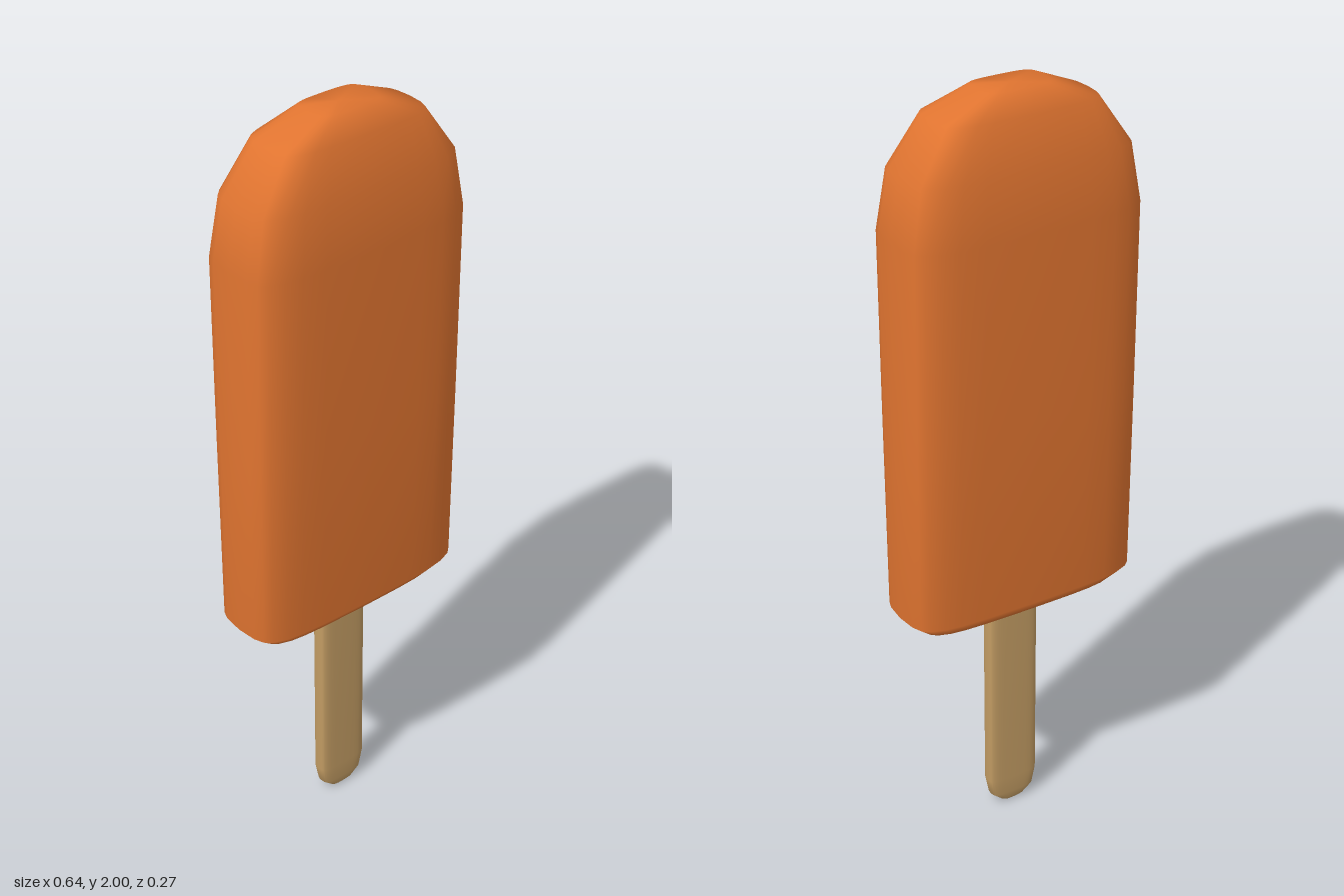
import * as THREE from 'three';

// One quadrant of the rounded cross-section, scaled to a unit half width and half depth
const QUADRANT = [[1, 0], [0.985, 0.45], [0.955, 0.66], [0.9, 0.79], [0.79, 0.9], [0.65, 0.955], [0.45, 0.985], [0, 1]];

function unitSection() {
  const q = QUADRANT.slice(0, -1), r = QUADRANT.slice(1).reverse();
  return [
    ...q,
    ...r.map(([x, z]) => [-x, z]),
    ...q.map(([x, z]) => [-x, -z]),
    ...r.map(([x, z]) => [x, -z]),
  ];
}

// Smooth closed loft through rings of [y, half width, half depth], bottom to top
function loft(rings) {
  const section = unitSection(), n = section.length;
  const positions = [], indices = [];
  for (const [y, w, d] of rings) {
    for (const [x, z] of section) positions.push(x * w, y, z * d);
  }
  for (let r = 0; r < rings.length - 1; r++) {
    for (let i = 0; i < n; i++) {
      const a = r * n + i, b = r * n + (i + 1) % n;
      indices.push(a, a + n, b, b, a + n, b + n);
    }
  }
  // End caps
  const last = rings.length - 1, bottom = rings.length * n, top = bottom + 1;
  positions.push(0, rings[0][0], 0, 0, rings[last][0], 0);
  for (let i = 0; i < n; i++) {
    const j = (i + 1) % n;
    indices.push(bottom, i, j, top, last * n + j, last * n + i);
  }
  const geometry = new THREE.BufferGeometry();
  geometry.setAttribute('position', new THREE.Float32BufferAttribute(positions, 3));
  geometry.setIndex(indices);
  geometry.computeVertexNormals();
  return geometry;
}

export function createModel() {
  const group = new THREE.Group();
  group.name = 'icePop';

  const orangeIce = new THREE.MeshStandardMaterial({ color: 0xe07430 });
  orangeIce.name = 'orangeIce';
  const paleWood = new THREE.MeshStandardMaterial({ color: 0xc09a62 });
  paleWood.name = 'paleWood';

  // Frozen body: slightly thicker towards the top, with a domed end
  const body = new THREE.Mesh(loft([
    [0.645, 0.2, 0.06],
    [0.645, 0.28, 0.092],
    [0.68, 0.32, 0.119],
    [1.2, 0.32, 0.127],
    [1.68, 0.319, 0.133],
    [1.83, 0.293, 0.121],
    [1.95, 0.21, 0.092],
    [2.0, 0.09, 0.055],
  ]), orangeIce);
  body.name = 'body';
  group.add(body);

  // Wooden stick with a rounded lower end, running up into the body
  const stick = new THREE.Mesh(loft([
    [0, 0.022, 0.012],
    [0.008, 0.035, 0.018],
    [0.03, 0.061, 0.022],
    [0.08, 0.071, 0.025],
    [0.8, 0.072, 0.025],
  ]), paleWood);
  stick.name = 'stick';
  group.add(stick);

  return group;
}
